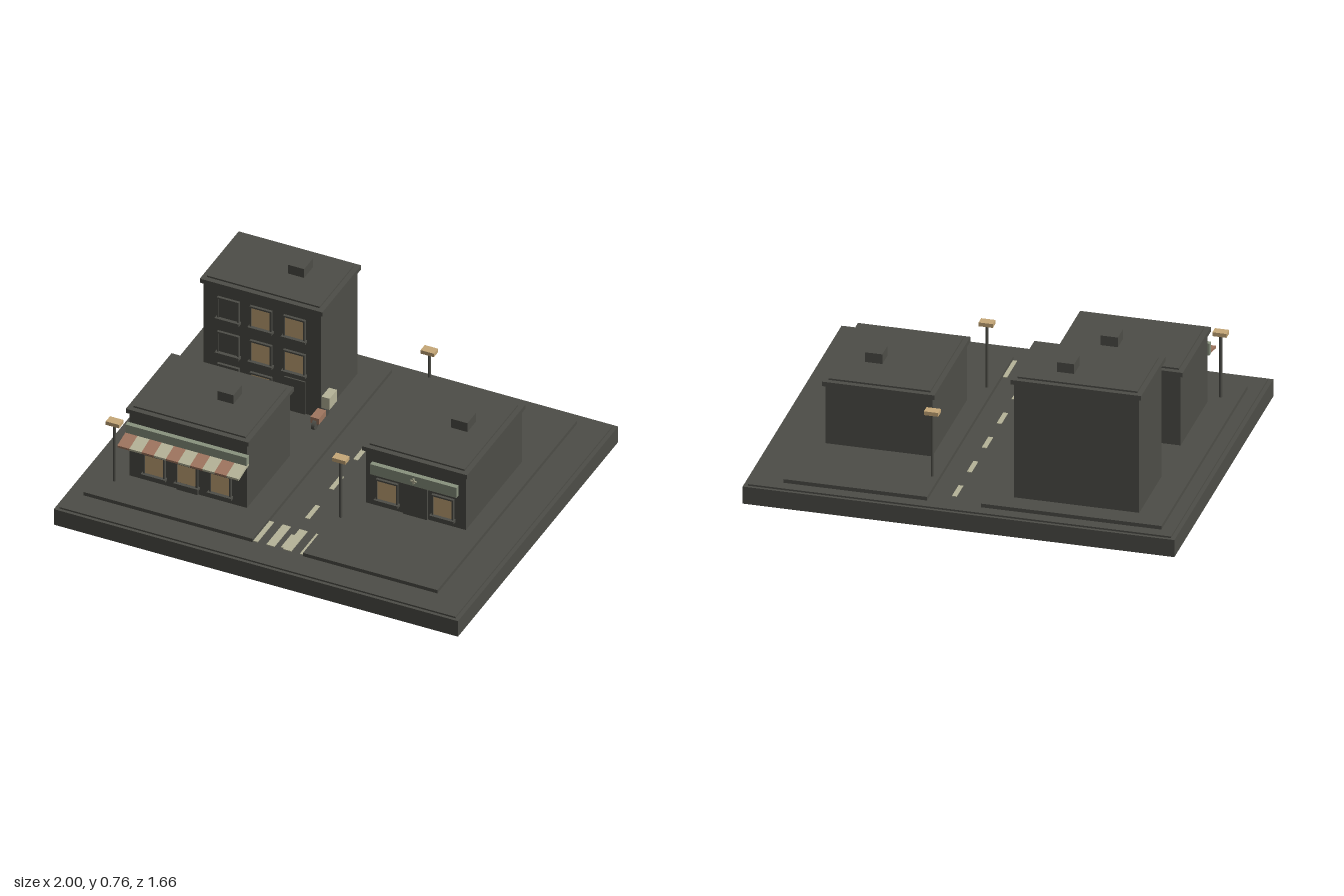
import * as THREE from 'three';

const mat = (name, color) => {
  const m = new THREE.MeshStandardMaterial({ color });
  m.name = name;
  return m;
};

export function createModel() {
  const M = {
    dark: mat('charcoal', 0x4d4d47),
    glow: mat('warm light', 0xc6a878),
    cream: mat('cream', 0xb6b499),
    red: mat('terracotta', 0xa0765f),
    green: mat('sage', 0x89927e),
  };
  const town = new THREE.Group();
  town.name = 'townBlock';

  const group = (name, parent = town) => {
    const g = new THREE.Group();
    g.name = name;
    parent.add(g);
    return g;
  };
  // Box given by its min and max on each axis
  const box = (parent, name, m, x0, x1, y0, y1, z0, z1) => {
    const mesh = new THREE.Mesh(new THREE.BoxGeometry(x1 - x0, y1 - y0, z1 - z0), m);
    mesh.position.set((x0 + x1) / 2, (y0 + y1) / 2, (z0 + z1) / 2);
    mesh.name = name;
    parent.add(mesh);
    return mesh;
  };
  const cyl = (parent, name, m, r, h, x, y, z) => {
    const mesh = new THREE.Mesh(new THREE.CylinderGeometry(r, r, h, 10), m);
    mesh.position.set(x, y, z);
    mesh.name = name;
    parent.add(mesh);
    return mesh;
  };

  // Ground
  const GROUND = 0.111, ROAD = 0.093;
  const ground = group('ground');
  box(ground, 'base', M.dark, -1, 1, 0, 0.085, -0.83, 0.83);
  box(ground, 'road', M.dark, -0.98, 0.98, 0.085, ROAD, -0.815, 0.815);
  box(ground, 'leftPavement', M.dark, -0.92, -0.085, ROAD, GROUND, -0.76, 0.687);
  box(ground, 'rightPavement', M.dark, 0.165, 0.83, ROAD, GROUND, -0.76, 0.687);

  // Road markings
  for (let i = 0; i < 6; i++) {
    const z = -0.635 + i * 0.25;
    box(ground, 'laneDash', M.cream, 0.047, 0.069, ROAD, ROAD + 0.003, z - 0.055, z + 0.055);
  }
  for (let i = -1; i < 3; i++) {
    const x = i * 0.083;
    box(ground, 'crossingBar', M.cream, x - 0.02, x + 0.02, ROAD, ROAD + 0.004, 0.51, 0.68);
  }

  // Building shell: walls, cornice, roof cap and rooftop box
  const building = (name, x0, x1, z0, z1, top, ventX, ventZ) => {
    const g = group(name);
    const o = 0.013, n = 0.012;
    box(g, 'walls', M.dark, x0, x1, GROUND, top - 0.025, z0, z1);
    box(g, 'cornice', M.dark, x0 - o, x1 + o, top - 0.03, top - 0.008, z0 - o, z1 + o);
    box(g, 'roofCap', M.dark, x0 + n, x1 - n, top - 0.008, top, z0 + n, z1 - n);
    box(g, 'roofVent', M.dark, ventX - 0.04, ventX + 0.04, top, top + 0.048, ventZ - 0.045, ventZ + 0.045);
    return g;
  };
  // Framed window with a sill; y is the bottom of the pane
  const windowUnit = (parent, x, y, z, lit = true) => {
    const g = group('window', parent);
    const w = 0.046, h = 0.1, f = 0.008;
    for (const s of [-1, 1]) {
      const e = x + s * (w + f / 2);
      box(g, 'windowFrameSide', M.dark, e - f / 2, e + f / 2, y - f, y + h + f, z, z + 0.013);
    }
    box(g, 'windowFrameTop', M.dark, x - w, x + w, y + h, y + h + f, z, z + 0.013);
    box(g, 'windowPane', lit ? M.glow : M.dark, x - w, x + w, y, y + h, z, z + 0.008);
    box(g, 'windowSill', M.dark, x - 0.06, x + 0.06, y - 0.014, y - 0.001, z, z + 0.024);
  };
  const door = (parent, x, z, w) =>
    box(parent, 'door', M.dark, x - w / 2, x + w / 2, GROUND, 0.288, z, z + 0.007);

  // Tall back building
  const columns = [-0.665, -0.503, -0.338];
  const tall = building('tallBuilding', -0.79, -0.21, -0.66, -0.283, 0.71, -0.42, -0.51);
  [0.518, 0.33].forEach((y) => columns.forEach((x, i) => windowUnit(tall, x, y, -0.283, i > 0)));
  columns.slice(0, 2).forEach((x, i) => windowUnit(tall, x, 0.155, -0.283, i > 0));
  door(tall, columns[2], -0.283, 0.105);

  // Front shop with fascia and striped awning
  const shop = building('awningShop', -0.79, -0.21, 0.035, 0.483, 0.489, -0.42, 0.222);
  columns.forEach((x) => windowUnit(shop, x, 0.155, 0.483));
  door(shop, columns[1], 0.483, 0.105);
  box(shop, 'shopFascia', M.green, -0.8, -0.2, 0.345, 0.403, 0.483, 0.507);
  const awning = group('awning', shop);
  for (let i = 0; i < 10; i++) {
    const x = -0.8 + i * 0.06;
    box(awning, 'awningStripe', i % 2 ? M.cream : M.red, x, x + 0.06, -0.006, 0.006, 0, 0.107);
  }
  awning.position.set(0, 0.357, 0.485);
  awning.rotation.x = 0.2;

  // Right-hand shop with sign and cross
  const clinic = building('signShop', 0.25, 0.745, -0.365, 0.215, 0.431, 0.58, -0.108);
  [0.359, 0.635].forEach((x) => windowUnit(clinic, x, 0.155, 0.215));
  door(clinic, 0.497, 0.215, 0.12);
  box(clinic, 'shopSign', M.green, 0.282, 0.71, 0.29, 0.345, 0.215, 0.238);
  box(clinic, 'crossUpright', M.cream, 0.494, 0.502, 0.304, 0.332, 0.238, 0.244);
  box(clinic, 'crossBar', M.cream, 0.484, 0.512, 0.314, 0.322, 0.238, 0.244);

  // Street lamps
  for (const [x, z] of [[-0.834, 0.548], [0.198, -0.552], [0.198, 0.365]]) {
    const lamp = group('streetLamp');
    cyl(lamp, 'lampPole', M.dark, 0.007, 0.315, x, GROUND + 0.157, z);
    box(lamp, 'lampHead', M.glow, x - 0.033, x + 0.033, 0.421, 0.44, z - 0.022, z + 0.022);
  }

  // Low crates in the alley
  for (const x of [-0.685, -0.552])
    box(town, 'alleyCrate', M.dark, x - 0.053, x + 0.053, GROUND, GROUND + 0.07, -0.212, -0.105);

  // Parked delivery scooter with cargo box
  const scooter = group('deliveryScooter');
  for (const z of [-0.31, -0.195])
    cyl(scooter, 'scooterWheel', M.dark, 0.024, 0.016, -0.198, GROUND + 0.024, z).rotation.z = Math.PI / 2;
  box(scooter, 'scooterChassis', M.dark, -0.21, -0.186, 0.13, 0.145, -0.32, -0.2);
  box(scooter, 'scooterBody', M.red, -0.22, -0.178, 0.14, 0.172, -0.27, -0.195);
  box(scooter, 'cargoSupport', M.dark, -0.205, -0.185, 0.14, 0.176, -0.33, -0.27);
  box(scooter, 'cargoBox', M.cream, -0.203, -0.163, 0.175, 0.236, -0.352, -0.275);

  return town;
}
